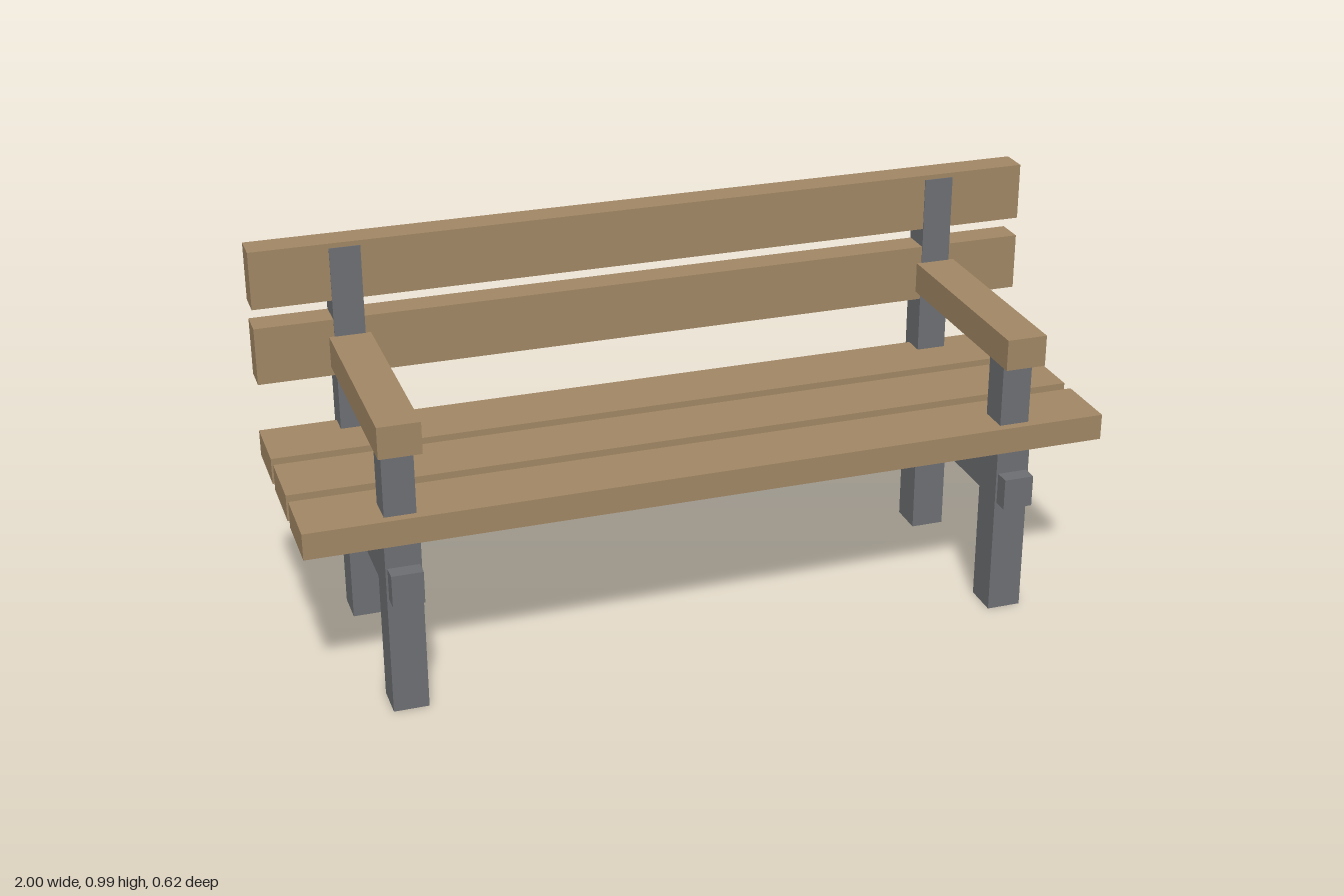
import * as THREE from 'three';

export function createModel() {
  const bench = new THREE.Group();
  bench.name = 'bench';
  const wood = new THREE.MeshStandardMaterial({ color: 0xa08664 });
  const metal = new THREE.MeshStandardMaterial({ color: 0x6d6e72 });

  // Box centred on x, spanning the given y and z ranges
  function bar(name, material, x, width, [y0, y1], [z0, z1]) {
    const mesh = new THREE.Mesh(new THREE.BoxGeometry(width, y1 - y0, z1 - z0), material);
    mesh.position.set(x, (y0 + y1) / 2, (z0 + z1) / 2);
    mesh.name = name;
    bench.add(mesh);
  }

  // Seat: three flat planks
  for (const z of [-0.204, 0, 0.204]) {
    bar('seatPlank', wood, 0, 2, [0.445, 0.511], [z - 0.085, z + 0.085]);
  }

  // Backrest: two upright planks
  for (const y of [0.655, 0.849]) {
    bar('backPlank', wood, 0, 2, [y, y + 0.145], [-0.309, -0.236]);
  }

  // Side frames, one at each end
  for (const side of [-1, 1]) {
    const x = side * 0.77;
    bar('frontLeg', metal, x, 0.086, [0, 0.48], [0.183, 0.273]);
    bar('backLeg', metal, x, 0.086, [0, 0.48], [-0.295, -0.204]);
    bar('sideRail', metal, x, 0.076, [0.302, 0.382], [-0.311, 0.313]);
    bar('armPost', metal, x, 0.076, [0.45, 0.69], [0.19, 0.267]);
    bar('backPost', metal, x, 0.076, [0.303, 0.982], [-0.312, -0.234]);
    bar('armrest', wood, x, 0.102, [0.677, 0.756], [-0.238, 0.308]);
  }
  return bench;
}
